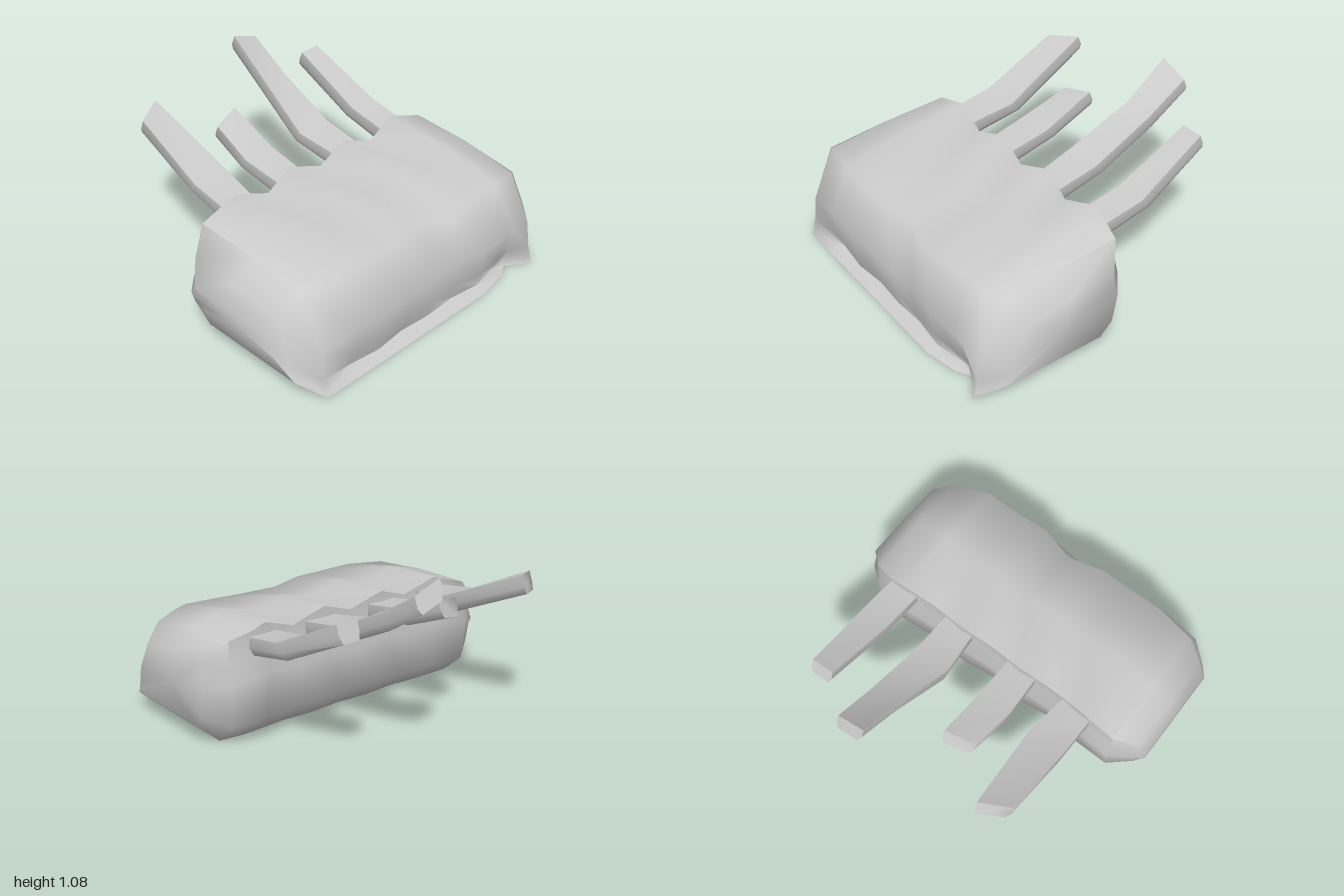
import * as THREE from 'three';
import { toCreasedNormals } from 'three/addons/utils/BufferGeometryUtils.js';

const material = new THREE.MeshStandardMaterial({ color: 0xcccccc, side: THREE.DoubleSide });

// Skin equal-length rings of [x, y, z] points and close both ends.
function loft(name, rings, crease) {
  const n = rings[0].length;
  const positions = rings.flat(2);
  const index = [];
  for (let s = 0; s < rings.length - 1; s++) {
    for (let i = 0; i < n; i++) {
      const j = (i + 1) % n;
      const a = s * n + i, b = s * n + j;
      index.push(a, b, b + n, a, b + n, a + n);
    }
  }
  [0, rings.length - 1].forEach((s, end) => {
    const centre = positions.length / 3;
    for (let k = 0; k < 3; k++) positions.push(rings[s].reduce((t, p) => t + p[k], 0) / n);
    for (let i = 0; i < n; i++) {
      const a = s * n + i, b = s * n + (i + 1) % n;
      index.push(centre, end ? a : b, end ? b : a);
    }
  });
  const geometry = new THREE.BufferGeometry();
  geometry.setAttribute('position', new THREE.Float32BufferAttribute(positions, 3));
  geometry.setIndex(index);
  const mesh = new THREE.Mesh(toCreasedNormals(geometry, crease), material);
  mesh.name = name;
  return mesh;
}

// Side profile of the block at one x.
function blockRing([x, top, bottom, inset, edgeY, edgeZ, faceZ, lowZ, lipZ]) {
  const h = top - bottom;
  return [
    [x, top, -0.02 + inset],
    [x, top - (top - edgeY) * 0.25, 0.38],
    [x, edgeY, edgeZ],
    [x, bottom + 0.42 * h, faceZ],
    [x, bottom + 0.17 * h, (faceZ + lowZ) / 2],
    [x, bottom + 0.04 * h, lowZ],
    [x, bottom, lipZ],
    [x, bottom, 0.12 + inset * 0.5],
    [x, bottom + 0.19 * h, -0.02 + inset],
    [x, bottom + 0.6 * h, -0.05 + inset],
    [x, bottom + 0.8 * h, -0.02 + inset],
  ];
}

// x, top, bottom, back inset, front edge y and z, face z, low z, lip z
const stations = [
  [-1.0, 0.36, 0.24, 0.13, 0.33, 0.70, 0.72, 0.73, 0.73],
  [-0.95, 0.51, 0.11, 0.09, 0.47, 0.70, 0.78, 0.82, 0.83],
  [-0.82, 0.62, 0.0, 0.0, 0.56, 0.76, 0.90, 0.935, 0.945],
  [-0.58, 0.70, 0.0, 0.0, 0.58, 0.80, 0.92, 0.86, 0.945],
  [-0.37, 0.625, 0.0, 0.03, 0.58, 0.80, 0.91, 0.88, 0.945],
  [-0.17, 0.70, 0.0, 0.0, 0.58, 0.80, 0.92, 0.86, 0.945],
  [0.04, 0.625, 0.0, 0.03, 0.57, 0.75, 0.89, 0.87, 0.945],
  [0.25, 0.70, 0.0, 0.0, 0.55, 0.82, 0.90, 0.86, 0.945],
  [0.45, 0.625, 0.0, 0.03, 0.57, 0.80, 0.91, 0.88, 0.945],
  [0.66, 0.70, 0.0, 0.0, 0.58, 0.80, 0.92, 0.84, 0.90],
  [0.74, 0.67, 0.0, 0.0, 0.57, 0.78, 0.91, 0.83, 0.85],
  [0.88, 0.63, 0.0, 0.03, 0.54, 0.74, 0.89, 0.935, 0.945],
  [1.0, 0.51, 0.11, 0.13, 0.46, 0.66, 0.76, 0.79, 0.80],
];

// Flat-topped bar section with a rounded underside.
function barRing([x0, x1, y0, y1, z0, z1], dy, dz) {
  const point = (t, d) => [
    x0 + (x1 - x0) * t, y0 + (y1 - y0) * t - dy * d, z0 + (z1 - z0) * t - dz * d,
  ];
  return [point(0, 0), point(1, 0), point(1, 0.6), point(0.88, 1), point(0.12, 1), point(0, 0.6)];
}

// Each: root x range, bend x range, tip [x0, x1, y0, y1, z0, z1], optional extra section
const prongs = [
  { root: [-0.66, -0.46], bend: [-0.66, -0.43], tip: [-0.655, -0.485, 0.90, 0.93, -0.72, -0.82] },
  { root: [-0.27, -0.08], bend: [-0.285, -0.08], tip: [-0.26, -0.085, 0.78, 0.82, -0.54, -0.59] },
  { root: [0.175, 0.37], bend: [0.145, 0.37], tip: [0.195, 0.37, 1.08, 1.02, -0.90, -0.905],
    knee: [0.195, 0.37, 0.88, 0.86, -0.64, -0.65] },
  { root: [0.58, 0.76], bend: [0.585, 0.765], tip: [0.585, 0.72, 0.90, 0.90, -0.715, -0.72] },
];

export function createModel() {
  const model = new THREE.Group();
  model.name = 'prongedBlock';
  model.add(loft('block', stations.map(blockRing), 1.35));

  // Bent prongs rising from the back
  const group = new THREE.Group();
  group.name = 'prongs';
  for (const { root, bend, tip, knee } of prongs) {
    const rings = [
      barRing([...root, 0.61, 0.61, 0.12, 0.12], 0.11, 0),
      barRing([...root, 0.635, 0.635, -0.02, -0.02], 0.11, 0),
      barRing([...bend, 0.68, 0.68, -0.27, -0.27], 0.085, 0.07),
    ];
    if (knee) rings.push(barRing(knee, 0.09, 0.05));
    rings.push(barRing(tip, 0.1, 0.04));
    group.add(loft('prong', rings, 1.2));
  }
  model.add(group);
  return model;
}
